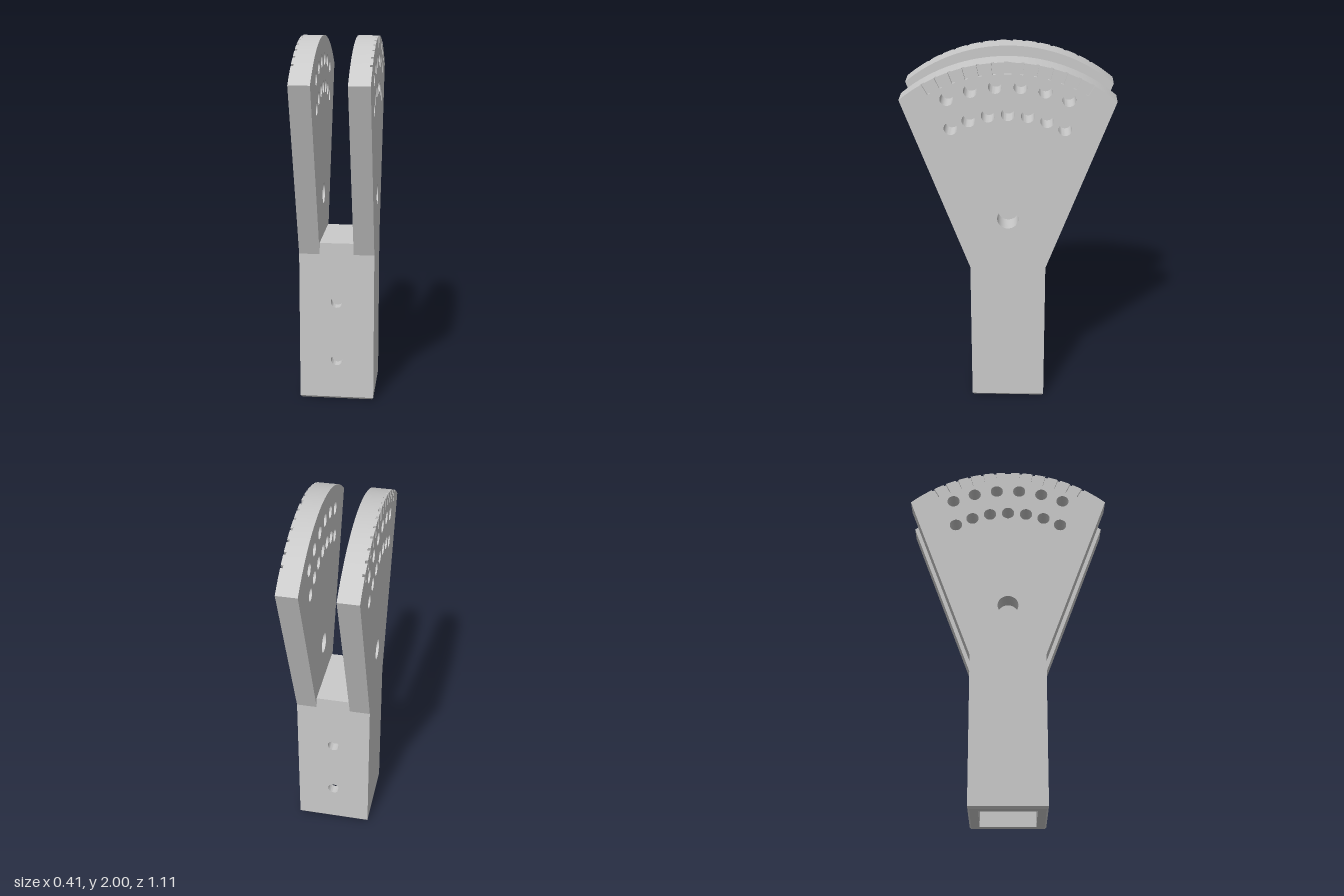
import * as THREE from 'three';
import { toCreasedNormals } from 'three/addons/utils/BufferGeometryUtils.js';

const HALF = 0.205;      // half width of the square handle
const BORE = 0.15;       // half width of the hollow inside it
const FOOT = 0.012;      // height of the bottom chamfer
const SHOULDER = 0.842;  // where the plates start to flare
const GAP = 0.093;       // half of the slot between the plates
const PIVOT = 1.137, R = 0.863, EDGE = 0.6985;
const SLOT_LENGTH = 0.062, SLOT_DEPTH = 0.013;
const rad = THREE.MathUtils.degToRad;

// Point at a radius and angle from vertical about the pivot, with a sideways offset
function polar(r, a, side = 0) {
  return new THREE.Vector2(
    Math.sin(a) * r + Math.cos(a) * side,
    PIVOT + Math.cos(a) * r - Math.sin(a) * side);
}

function addHole(shape, x, y, r) {
  shape.holes.push(new THREE.Path().absarc(x, y, r, 0, Math.PI * 2, true));
}

// Fan outline, optionally with graduation slots cut into its arc
function fanShape(slotted) {
  const pts = [new THREE.Vector2(HALF, SHOULDER), new THREE.Vector2(-HALF, SHOULDER)];
  const arc = (from, to, n) => {
    for (let i = 0; i <= n; i++) pts.push(polar(R, from + (to - from) * i / n));
  };
  let start = -EDGE;
  if (slotted) {
    for (let deg = -30; deg <= 30; deg += 5) {
      const a = rad(deg), w = deg === 0 ? 0.018 : 0.0078, half = Math.asin(w / R);
      arc(start, a - half, 4);
      pts.push(polar(R - SLOT_LENGTH, a, -w), polar(R - SLOT_LENGTH, a, w));
      start = a + half;
    }
    arc(start, EDGE, 6);
  } else {
    arc(start, EDGE, 64);
  }
  // Counter-clockwise outline, so that the clockwise holes face inwards
  const shape = new THREE.Shape(pts.reverse());
  // Pivot hole and the two rows of index holes
  addHole(shape, 0, PIVOT, 0.057);
  for (let deg = -25; deg <= 25; deg += 10) {
    const p = polar(0.737, rad(deg));
    addHole(shape, p.x, p.y, 0.035);
  }
  for (let deg = -30; deg <= 30; deg += 10) {
    const p = polar(0.589, rad(deg));
    addHole(shape, p.x, p.y, 0.035);
  }
  return shape;
}

function extrude(shape, depth) {
  const geo = new THREE.ExtrudeGeometry(shape, { depth, bevelEnabled: false, curveSegments: 16 });
  return toCreasedNormals(geo, rad(35));
}

export function createModel() {
  const model = new THREE.Group();
  const grey = new THREE.MeshStandardMaterial({ color: 0xcacaca });
  grey.name = 'light grey';

  const add = (name, geo, x = 0, y = 0, z = 0) => {
    const mesh = new THREE.Mesh(geo, grey);
    mesh.name = name;
    mesh.position.set(x, y, z);
    model.add(mesh);
  };

  // Fan plates: a plain core with a thin slotted outer layer
  const coreDepth = HALF - SLOT_DEPTH - GAP;
  const core = extrude(fanShape(false), coreDepth).rotateY(Math.PI / 2);
  const scale = extrude(fanShape(true), SLOT_DEPTH).rotateY(Math.PI / 2);
  add('leftPlate', core, GAP);
  add('rightPlate', core, -GAP - coreDepth);
  add('leftGraduations', scale, HALF - SLOT_DEPTH);
  add('rightGraduations', scale, -HALF);

  // Front and back handle walls with two bolt holes each
  const wall = HALF - BORE;
  const panel = new THREE.Shape([
    new THREE.Vector2(-HALF, FOOT), new THREE.Vector2(HALF, FOOT),
    new THREE.Vector2(HALF, SHOULDER), new THREE.Vector2(-HALF, SHOULDER)]);
  addHole(panel, 0, 0.233, 0.032);
  addHole(panel, 0, 0.57, 0.032);
  const panelGeo = extrude(panel, wall);
  add('frontWall', panelGeo, 0, 0, BORE);
  add('backWall', panelGeo, 0, 0, -HALF);

  // Side walls
  const height = SHOULDER - FOOT;
  const sideGeo = new THREE.BoxGeometry(wall, height, BORE * 2);
  for (const [name, s] of [['leftWall', 1], ['rightWall', -1]]) {
    add(name, sideGeo, s * (HALF + BORE) / 2, FOOT + height / 2, 0);
  }

  // Plug closing the bore, and the raised block between the plates
  const blockHeight = 0.905 - SHOULDER;
  add('borePlug', new THREE.BoxGeometry(BORE * 2, 0.095, BORE * 2), 0, SHOULDER - 0.0475, 0);
  add('centreBlock', new THREE.BoxGeometry(GAP * 2, blockHeight, HALF * 2), 0, SHOULDER + blockHeight / 2, 0);

  // Chamfered rim around the open bottom
  const rim = [[BORE, FOOT], [BORE, 0], [HALF - 0.01, 0], [HALF, FOOT]]
    .map(([h, y]) => new THREE.Vector2(h * Math.SQRT2, y));
  const rimGeo = new THREE.LatheGeometry(rim, 4, Math.PI / 4).toNonIndexed();
  rimGeo.computeVertexNormals();
  add('bottomRim', rimGeo);

  return model;
}
